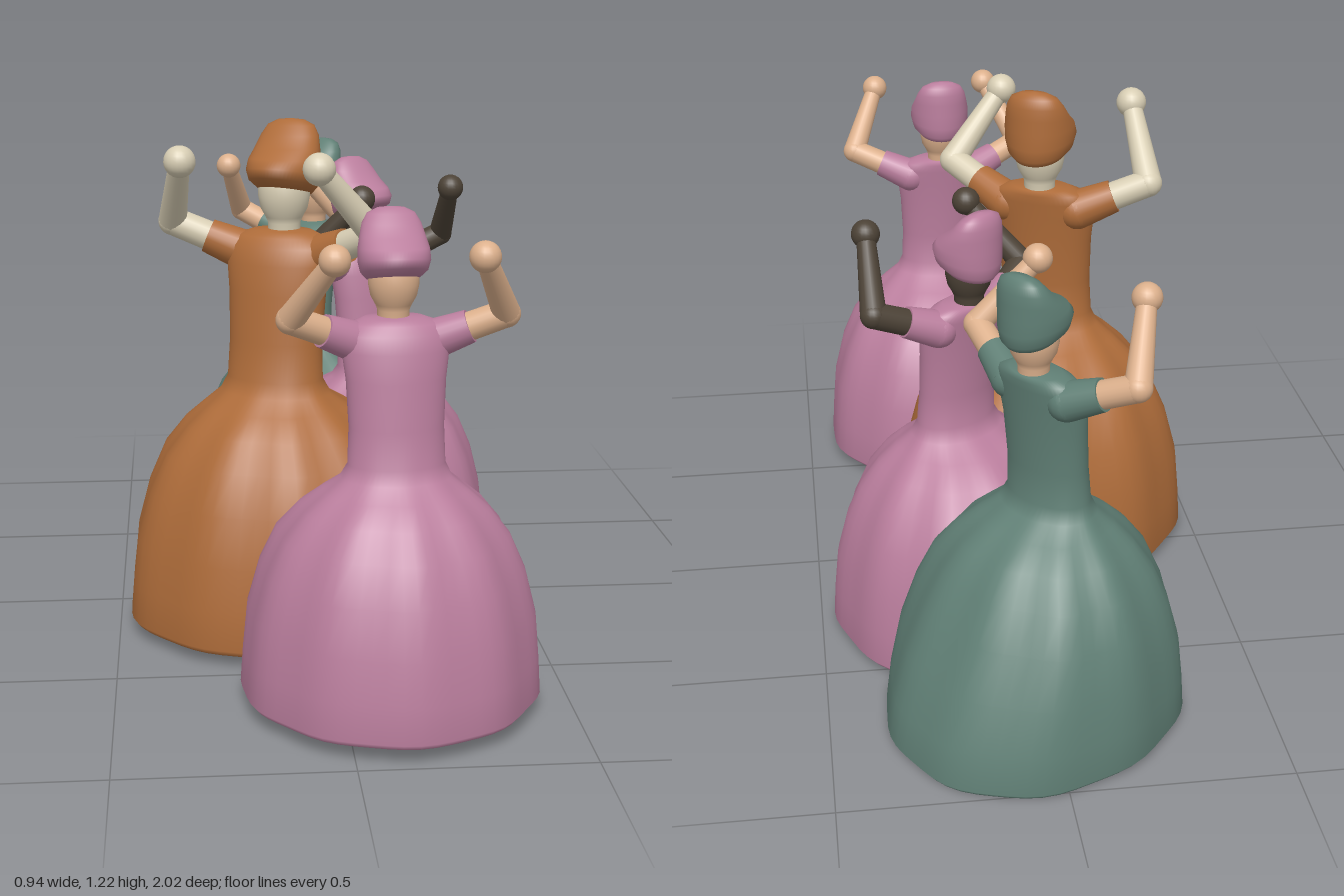
import * as THREE from 'three';

const SEG = 60;

// Skin closed rings [y, centreZ, radiusX, radiusZ, foldDepth, wobble, tilt] listed upward.
// phase turns the folds; train draws the back of the hem outward.
function loft(rings, phase = 0, train = 0) {
  const pos = [], idx = [];
  for (const [y, cz, rx, rz, fold = 0, wobble = 0, tilt = 0] of rings) {
    const sweep = y < 0.525 && rz > 0 ? train * Math.cos((y / 0.7) * Math.PI * 2) : 0;
    for (let i = 0; i < SEG; i++) {
      const a = (i / SEG) * Math.PI * 2;
      const k = 1 + fold * Math.cos(10 * a + phase) + wobble * Math.cos(3 * a + 2 * phase);
      const z = Math.cos(a) * rz * k + Math.min(0, Math.cos(a)) * sweep;
      pos.push(Math.sin(a) * rx * k, y + tilt * z, cz + z);
    }
  }
  for (let r = 0; r < rings.length - 1; r++) {
    for (let i = 0; i < SEG; i++) {
      const j = (i + 1) % SEG, p = r * SEG, q = p + SEG;
      idx.push(p + i, p + j, q + j, p + i, q + j, q + i);
    }
  }
  const g = new THREE.BufferGeometry();
  g.setAttribute('position', new THREE.Float32BufferAttribute(pos, 3));
  g.setIndex(idx);
  g.computeVertexNormals();
  return g;
}

// Tapered limb between two points
function limb(a, b, ra, rb) {
  const d = b.clone().sub(a);
  const g = new THREE.CylinderGeometry(rb, ra, d.length(), 20);
  g.applyQuaternion(new THREE.Quaternion().setFromUnitVectors(new THREE.Vector3(0, 1, 0), d.normalize()));
  const m = a.clone().add(b).multiplyScalar(0.5);
  return g.translate(m.x, m.y, m.z);
}

function ball(p, r) {
  return new THREE.SphereGeometry(r, 20, 14).translate(p.x, p.y, p.z);
}

const DRESS = [
  [0.008, 0, 0.318, 0.318, 0.01, 0.018, 0.025],
  [0.02, 0, 0.328, 0.328, 0.01, 0.018, 0.025],
  [0.1, 0, 0.322, 0.322, 0.013, 0.018, 0.015],
  [0.2, 0, 0.312, 0.31, 0.016, 0.016],
  [0.3, 0.002, 0.285, 0.282, 0.02, 0.012],
  [0.38, 0.006, 0.248, 0.242, 0.027, 0.01],
  [0.44, 0.014, 0.2, 0.192, 0.027],
  [0.48, 0.024, 0.155, 0.14, 0.02],
  [0.51, 0.033, 0.12, 0.09, 0.01],
  [0.54, 0.036, 0.105, 0.07],
  [0.62, 0.031, 0.102, 0.065],
  [0.72, 0.022, 0.107, 0.063],
  [0.78, 0.014, 0.115, 0.062],
  [0.815, 0.006, 0.115, 0.058],
  [0.835, -0.002, 0.098, 0.053],
  [0.846, -0.008, 0.065, 0.044],
  [0.85, -0.01, 0, 0],
];

const CAP = [
  [0.95, -0.02, 0, 0],
  [0.925, -0.02, 0.056, 0.058, 0, 0, 0.25],
  [0.942, -0.011, 0.071, 0.077, 0, 0, 0.25],
  [0.965, -0.011, 0.077, 0.081, 0, 0, 0.2],
  [0.99, -0.018, 0.076, 0.072, 0, 0, 0.1],
  [1.015, -0.034, 0.07, 0.056],
  [1.04, -0.047, 0.063, 0.041],
  [1.06, -0.054, 0.051, 0.029],
  [1.07, -0.056, 0.03, 0.016],
  [1.073, -0.056, 0, 0],
];

const HEAD = [[0.034, 0.83], [0.034, 0.86], [0.039, 0.872], [0.049, 0.89], [0.054, 0.915], [0.054, 0.94], [0.045, 0.97], [0, 0.985]];

function dancer(name, dressColor, skinColor, phase, train) {
  const fig = new THREE.Group();
  fig.name = name;
  const cloth = new THREE.MeshStandardMaterial({ color: dressColor });
  const skin = new THREE.MeshStandardMaterial({ color: skinColor });
  const add = (part, geo, mat) => {
    const m = new THREE.Mesh(geo, mat);
    m.name = part;
    fig.add(m);
    return m;
  };

  add('dress', loft(DRESS, phase, train), cloth);
  // Flat underside of the skirt
  add('skirtBase', loft([[0.008, 0, 0, 0], DRESS[0]], phase, train), cloth);
  const head = add('head', new THREE.LatheGeometry(HEAD.map(p => new THREE.Vector2(...p)), 32), skin);
  head.position.z = -0.015;
  add('cap', loft(CAP), cloth);

  // Raised arms with short sleeves
  for (const [side, s] of [['left', 1], ['right', -1]]) {
    const shoulder = new THREE.Vector3(s * 0.08, 0.795, 0);
    const elbow = new THREE.Vector3(s * 0.228, 0.858, 0.05);
    const hand = new THREE.Vector3(s * 0.153, 1.0, 0.162);
    const cuff = shoulder.clone().lerp(elbow, 0.52);
    add(side + 'Shoulder', ball(shoulder, 0.044), cloth);
    add(side + 'Sleeve', limb(shoulder, cuff, 0.044, 0.036), cloth);
    add(side + 'UpperArm', limb(shoulder, elbow, 0.032, 0.03), skin);
    add(side + 'Elbow', ball(elbow, 0.0305), skin);
    add(side + 'Forearm', limb(elbow, hand, 0.03, 0.021), skin);
    add(side + 'Hand', ball(hand, 0.033), skin);
  }
  return fig;
}

export function createModel() {
  const group = new THREE.Group();
  group.name = 'dancers';
  // name, dress, skin, position, turn in degrees, scale, train
  const row = [
    ['frontDancer', 0xba7e9d, 0xdcb08c, [0.107, 0.02, 0.663], 4, 1, 0],
    ['tallDancer', 0xae6c3a, 0xd8ceb4, [-0.1, 0.01, 0.135], -27, 1.13, 0],
    ['thirdDancer', 0xba7e9d, 0x4c4236, [0.14, 0.006, -0.287], 36, 1, 0],
    ['rearDancer', 0x607f75, 0xdcb08c, [0.025, 0, -0.67], -51, 1.01, 0.035],
  ];
  row.forEach(([name, dress, skin, pos, turn, scale, train], i) => {
    const d = dancer(name, dress, skin, i * 1.3, train);
    d.position.set(...pos);
    d.rotation.y = THREE.MathUtils.degToRad(turn);
    d.scale.setScalar(scale);
    group.add(d);
  });
  return group;
}
